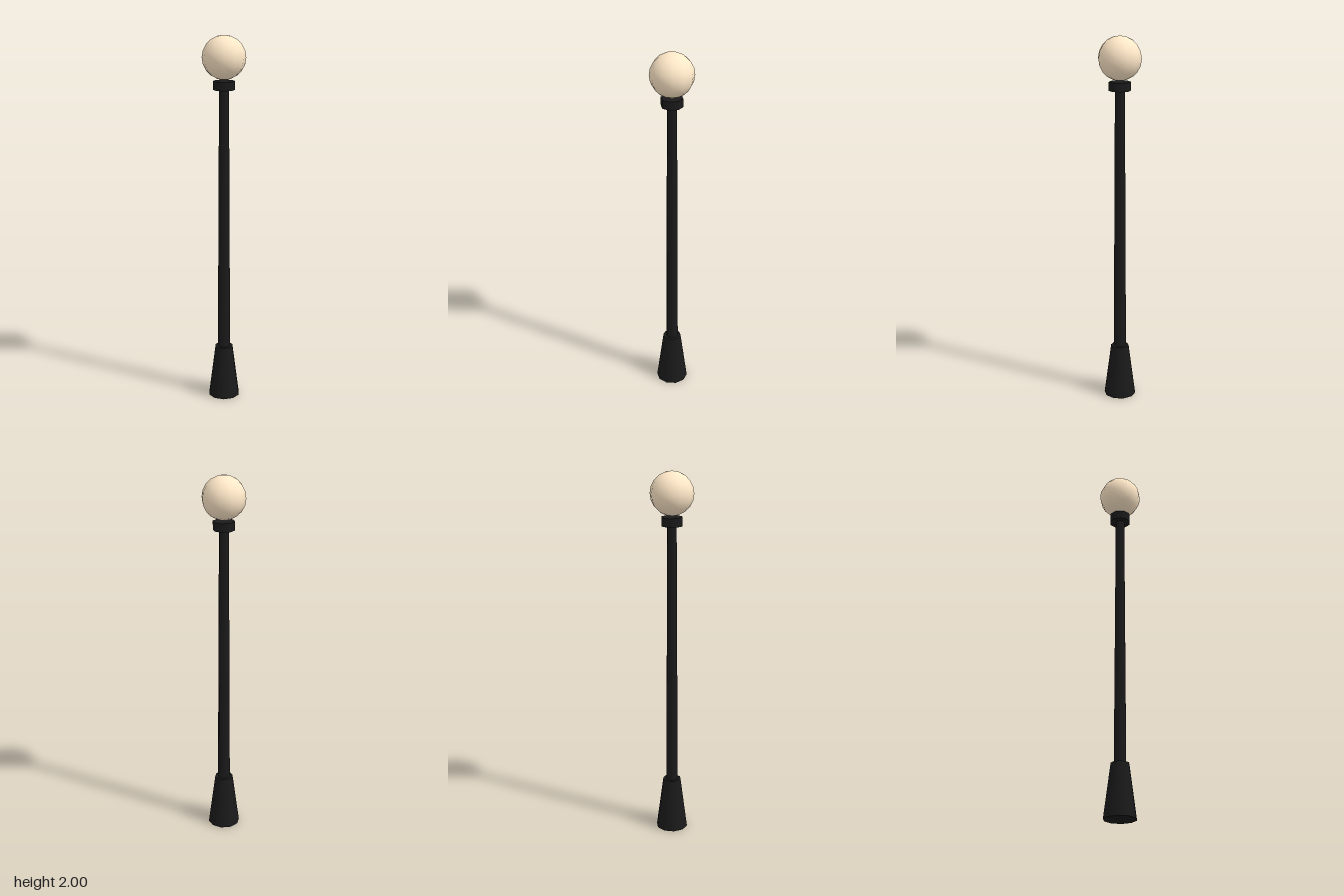
import * as THREE from 'three';

export function createModel() {
  const lamp = new THREE.Group();
  lamp.name = 'streetLamp';
  const iron = new THREE.MeshStandardMaterial({ color: 0x1a1a1a });
  const glow = new THREE.MeshStandardMaterial({ color: 0xffe8c8 });

  // Tapered round part standing between two heights
  function column(name, rBottom, rTop, y0, y1, sides) {
    const mesh = new THREE.Mesh(new THREE.CylinderGeometry(rTop, rBottom, y1 - y0, sides), iron);
    mesh.name = name;
    mesh.position.y = (y0 + y1) / 2;
    lamp.add(mesh);
  }

  column('base', 0.087, 0.049, 0, 0.29, 10);
  column('pole', 0.034, 0.026, 0.29, 1.72, 8);
  column('collar', 0.058, 0.058, 1.718, 1.764, 8);

  // Globe floats just above the collar
  const globe = new THREE.Mesh(new THREE.SphereGeometry(0.115, 12, 10), glow);
  globe.name = 'globe';
  globe.position.y = 1.885;
  lamp.add(globe);

  return lamp;
}
